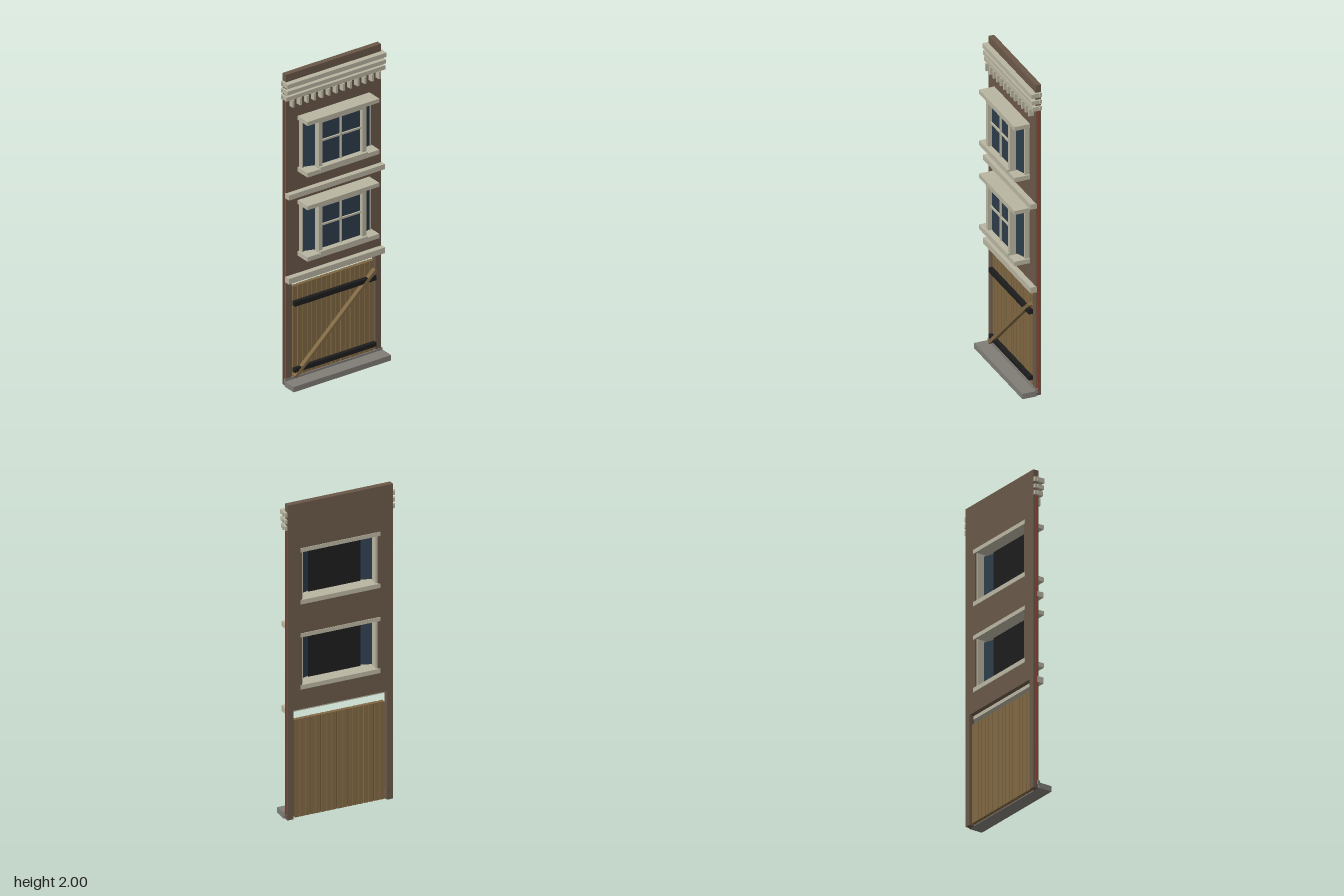
import * as THREE from 'three';

const mat = (name, color) => {
  const m = new THREE.MeshStandardMaterial({ color });
  m.name = name;
  return m;
};

export function createModel() {
  const root = new THREE.Group();
  root.name = 'houseFront';
  const brown = mat('brownWall', 0x6a5849);
  const cream = mat('creamStone', 0xb9b5a1);
  const grey = mat('greyStone', 0x7f7d76);
  const glass = mat('blueGlass', 0x2d3d4b);
  const black = mat('blackIron', 0x1d1d1d);
  const wood = mat('wood', 0x806843);
  const darkWood = mat('darkWood', 0x56452c);
  const red = mat('redBrick', 0x8a3d2c);

  // Box given by its limits on each axis
  const box = (parent, name, m, x0, x1, y0, y1, z0, z1) => {
    const mesh = new THREE.Mesh(new THREE.BoxGeometry(x1 - x0, y1 - y0, z1 - z0), m);
    mesh.position.set((x0 + x1) / 2, (y0 + y1) / 2, (z0 + z1) / 2);
    mesh.name = name;
    parent.add(mesh);
    return mesh;
  };
  const group = (name) => {
    const g = new THREE.Group();
    g.name = name;
    root.add(g);
    return g;
  };

  // Wall with gate opening and two window openings
  const drop = 0.541;
  const outline = [[-0.333, 0], [-0.295, 0], [-0.295, 0.69], [0.295, 0.69],
    [0.295, 0], [0.333, 0], [0.333, 2], [-0.333, 2]];
  const shape = new THREE.Shape(outline.map(([x, y]) => new THREE.Vector2(x, y)));
  for (const dy of [0, -drop]) {
    const hole = [[-0.24, 1.37], [-0.24, 1.7], [0.24, 1.7], [0.24, 1.37]];
    shape.holes.push(new THREE.Path(hole.map(([x, y]) => new THREE.Vector2(x, y + dy))));
  }
  const wall = new THREE.Mesh(
    new THREE.ExtrudeGeometry(shape, { depth: 0.034, bevelEnabled: false }), brown);
  wall.position.z = -0.068;
  wall.name = 'wall';
  root.add(wall);

  // Thin brick edges at both sides
  for (const s of [-1, 1]) {
    const x = s * 0.3365;
    box(root, 'brickEdge', red, x - 0.0035, x + 0.0035, 0.035, 1.84, -0.053, -0.049);
  }

  // Cornice bands, thin end fins and dentils
  const cornice = group('cornice');
  for (const [y0, y1, z1] of [[1.926, 1.953, 0], [1.884, 1.908, -0.003], [1.842, 1.868, -0.01]]) {
    box(cornice, 'corniceBand', cream, -0.347, 0.347, y0, y1, -0.066, z1);
    box(cornice, 'corniceFin', cream, -0.355, 0.355, y0 + 0.002, y1 - 0.002, -0.051, -0.049);
  }
  for (let i = -6; i <= 6; i++) {
    const x = i * 0.0505;
    box(cornice, 'dentil', cream, x - 0.007, x + 0.007, 1.796, 1.842, -0.036, -0.002);
  }

  // String courses between storeys
  box(root, 'upperStringCourse', cream, -0.337, 0.337, 1.208, 1.24, -0.04, 0);
  box(root, 'lowerStringCourse', cream, -0.337, 0.337, 0.668, 0.705, -0.04, 0);

  // Bay windows
  const addWindow = (dy) => {
    const w = group('bayWindow');
    w.position.y = dy;
    box(w, 'hood', cream, -0.252, 0.252, 1.688, 1.713, -0.072, 0.063);
    box(w, 'hoodLip', cream, -0.167, 0.167, 1.676, 1.69, 0.012, 0.058);
    box(w, 'sill', cream, -0.252, 0.252, 1.357, 1.385, -0.072, 0.063);
    box(w, 'sillLip', cream, -0.167, 0.167, 1.378, 1.398, 0.012, 0.07);
    box(w, 'frontGlass', glass, -0.14, 0.14, 1.39, 1.682, 0.026, 0.032);
    box(w, 'blackBacking', black, -0.166, 0.166, 1.385, 1.688, 0.01, 0.014);
    box(w, 'verticalBar', cream, -0.005, 0.005, 1.395, 1.68, 0.03, 0.042);
    box(w, 'crossBar', cream, -0.14, 0.14, 1.545, 1.556, 0.03, 0.042);
    for (const s of [-1, 1]) {
      const xf = s * 0.1535, xo = s * 0.235;
      box(w, 'frontPost', cream, xf - 0.0135, xf + 0.0135, 1.385, 1.688, 0.014, 0.055);
      box(w, 'outerPost', cream, xo - 0.006, xo + 0.006, 1.38, 1.69, -0.058, -0.006);
      // Side pane slanting back to the wall
      const pane = box(w, 'sideGlass', glass, -0.037, 0.037, 1.392, 1.678, -0.003, 0.003);
      pane.position.x = s * 0.199;
      pane.position.z = 0.002;
      pane.rotation.y = s * 0.32;
    }
  };
  addWindow(0);
  addWindow(-drop);

  // Plank gate
  const gate = group('gate');
  box(gate, 'gateCore', darkWood, -0.283, 0.283, 0.01, 0.62, -0.053, -0.045);
  for (let i = -8; i <= 8; i++) {
    const x = i * 0.0335;
    box(gate, 'plank', wood, x - 0.0145, x + 0.0145, 0.005, 0.625, -0.06, -0.036);
  }
  box(gate, 'upperStrap', black, -0.285, 0.285, 0.505, 0.535, -0.037, -0.012);
  box(gate, 'lowerStrap', black, -0.285, 0.285, 0.08, 0.106, -0.037, -0.012);
  const half = Math.hypot(0.565, 0.52) / 2;
  const brace = box(gate, 'brace', wood, -half, half, -0.01, 0.01, -0.037, -0.009);
  brace.position.y = 0.312;
  brace.rotation.z = Math.atan2(0.52, 0.565);

  // Doorstep
  box(root, 'step', grey, -0.342, 0.342, 0, 0.034, -0.036, 0.053);
  box(root, 'threshold', grey, -0.342, 0.342, 0.02, 0.047, -0.044, -0.03);
  return root;
}
